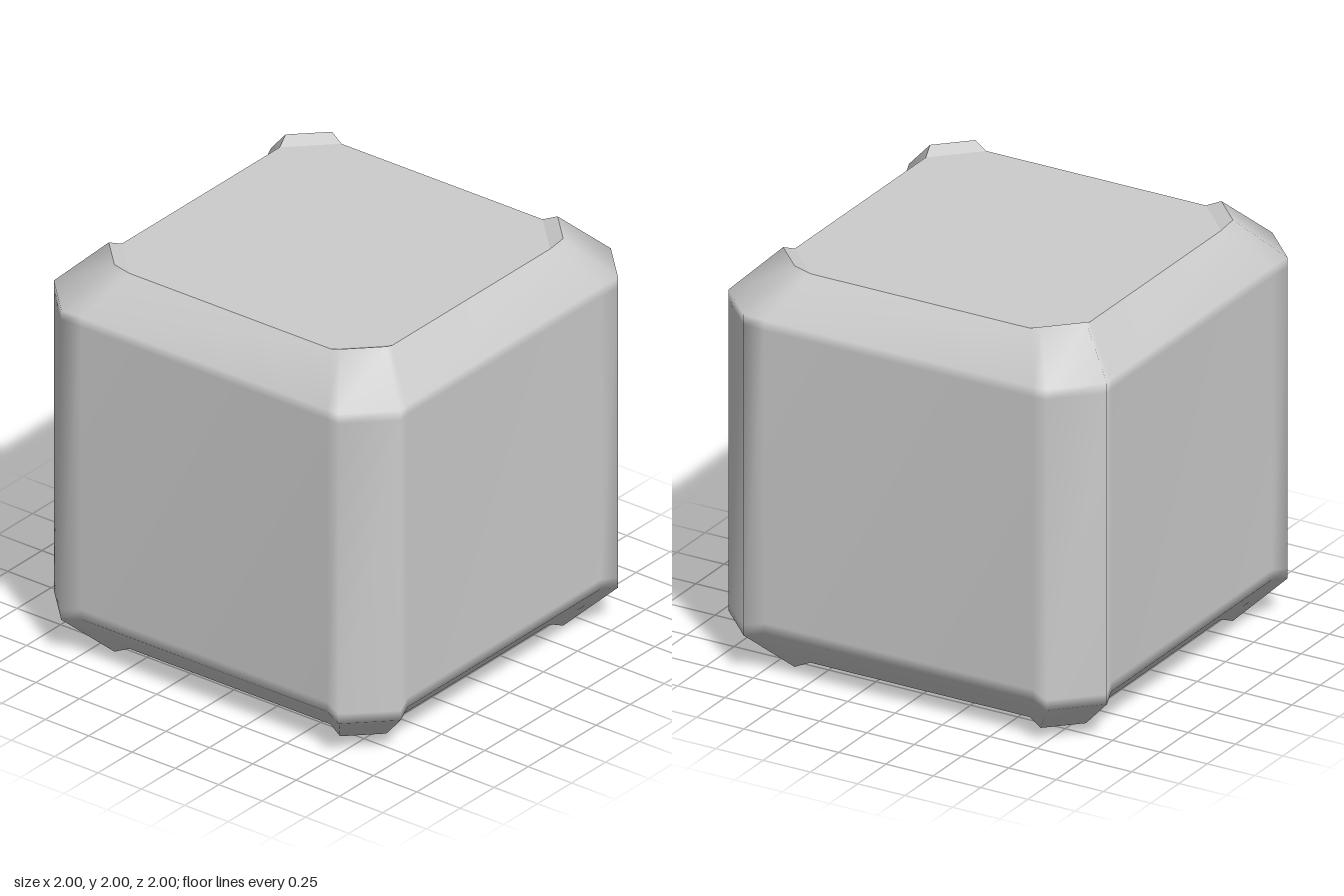
import * as THREE from 'three';

// Points of one corner post in plan: [x, z]; the outer two stand proud of the panels.
const POST = [[0.71, 0.97], [0.8, 1], [1, 0.8], [0.97, 0.71]];
const RIM = [[0.58, 0.78], [0.65, 0.8], [0.8, 0.65], [0.78, 0.58]];

// One ring around the block: the corner turned four times about y.
function ring(corner, panelY, postY) {
  const points = [];
  for (let k = 0; k < 4; k++) {
    corner.forEach(([x, z], i) => {
      const y = i === 1 || i === 2 ? postY : panelY;
      for (let t = 0; t < k; t++) [x, z] = [z, -x];
      points.push([x, y, z]);
    });
  }
  return points;
}

function makeGeometry(points, index) {
  const geometry = new THREE.BufferGeometry();
  geometry.setAttribute('position', new THREE.Float32BufferAttribute(points.flat(), 3));
  geometry.setIndex(index);
  return geometry;
}

// Fan of triangles over a list of corners.
function fan(ids, flip) {
  const index = [];
  for (let i = 1; i < ids.length - 1; i++) {
    index.push(ids[0], ids[flip ? i + 1 : i], ids[flip ? i : i + 1]);
  }
  return index;
}

export function createModel() {
  const group = new THREE.Group();
  const material = new THREE.MeshStandardMaterial({ color: 0xcccccc });
  const add = (name, geometry) => {
    const mesh = new THREE.Mesh(geometry, material);
    mesh.name = name;
    group.add(mesh);
  };

  // Side panels, corner posts and bevels, smooth all round.
  const rows = [
    ring(RIM, 0.03, 0),
    ring(POST, 0.22, 0.2),
    ring(POST, 0.27, 0.25),
    ring(POST, 1.73, 1.75),
    ring(POST, 1.78, 1.8),
    ring(RIM, 1.97, 2),
  ];
  const sideIndex = [];
  for (let r = 0; r < rows.length - 1; r++) {
    for (let i = 0; i < 16; i++) {
      const j = (i + 1) % 16;
      sideIndex.push(...fan([r * 16 + i, r * 16 + j, r * 16 + 16 + j, r * 16 + 16 + i], false));
    }
  }
  const sides = makeGeometry(rows.flat(), sideIndex);
  sides.computeVertexNormals();
  add('sidePanelsAndPosts', sides);

  // Flat top and bottom panels, each with a sloped step up to the four post ends.
  for (const [name, row, flip] of [['top', rows[5], false], ['bottom', rows[0], true]]) {
    const panelIds = [];
    const stepIndex = [];
    for (let k = 0; k < 16; k += 4) {
      panelIds.push(k, k + 3);
      stepIndex.push(...fan([k, k + 1, k + 2, k + 3], flip));
    }
    for (const [part, index] of [['Panel', fan(panelIds, flip)], ['CornerSteps', stepIndex]]) {
      const geometry = makeGeometry(row, index).toNonIndexed();
      geometry.computeVertexNormals();
      add(name + part, geometry);
    }
  }
  return group;
}
